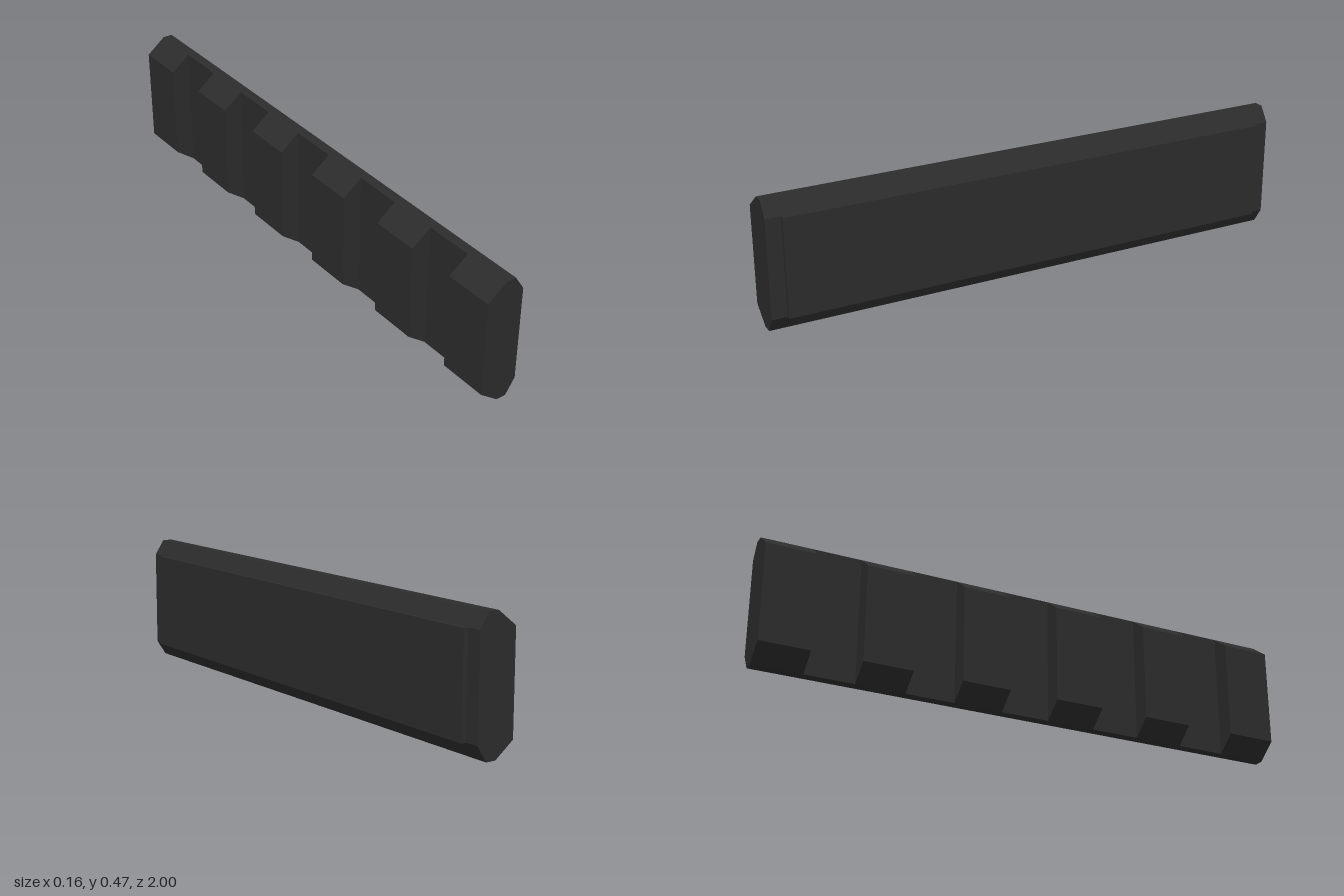
import * as THREE from 'three';

export function createModel() {
  const group = new THREE.Group();
  const black = new THREE.MeshStandardMaterial({ color: 0x2c2c2c });
  black.name = 'matte black';

  // Key levels of the rail's cross-section
  const top = 0.473, shoulderLow = 0.056, shoulderHigh = 0.418;
  const toothX = -0.082, floorX = -0.01, crestX = 0.027, backX = 0.063, padX = 0.081;

  // Extrudes an x-y outline along z, centred on z
  function prism(name, points, length, z) {
    const shape = new THREE.Shape(points.map(([x, y]) => new THREE.Vector2(x, y)));
    const geometry = new THREE.ExtrudeGeometry(shape, { depth: length, bevelEnabled: false });
    geometry.translate(0, 0, -length / 2);
    const mesh = new THREE.Mesh(geometry, black);
    mesh.name = name;
    mesh.position.z = z;
    group.add(mesh);
  }

  // Full-length spine with chamfered back edges
  prism('railSpine', [
    [floorX, 0], [crestX, 0], [backX, shoulderLow],
    [backX, shoulderHigh], [crestX, top], [floorX, top],
  ], 2, 0);

  // Six evenly spaced teeth with equal slots between them
  const count = 6, width = 2 / (2 * count - 1);
  for (let i = 0; i < count; i++) {
    prism(`railTooth${i + 1}`, [
      [floorX, 0], [floorX, top], [toothX, shoulderHigh], [toothX, shoulderLow],
    ], width, -1 + width * (2 * i + 0.5));
  }

  // Raised mounting pad on the back
  prism('mountingPad', [
    [backX, shoulderLow], [padX, shoulderLow], [padX, shoulderHigh], [backX, shoulderHigh],
  ], 1.89, 0);

  return group;
}
